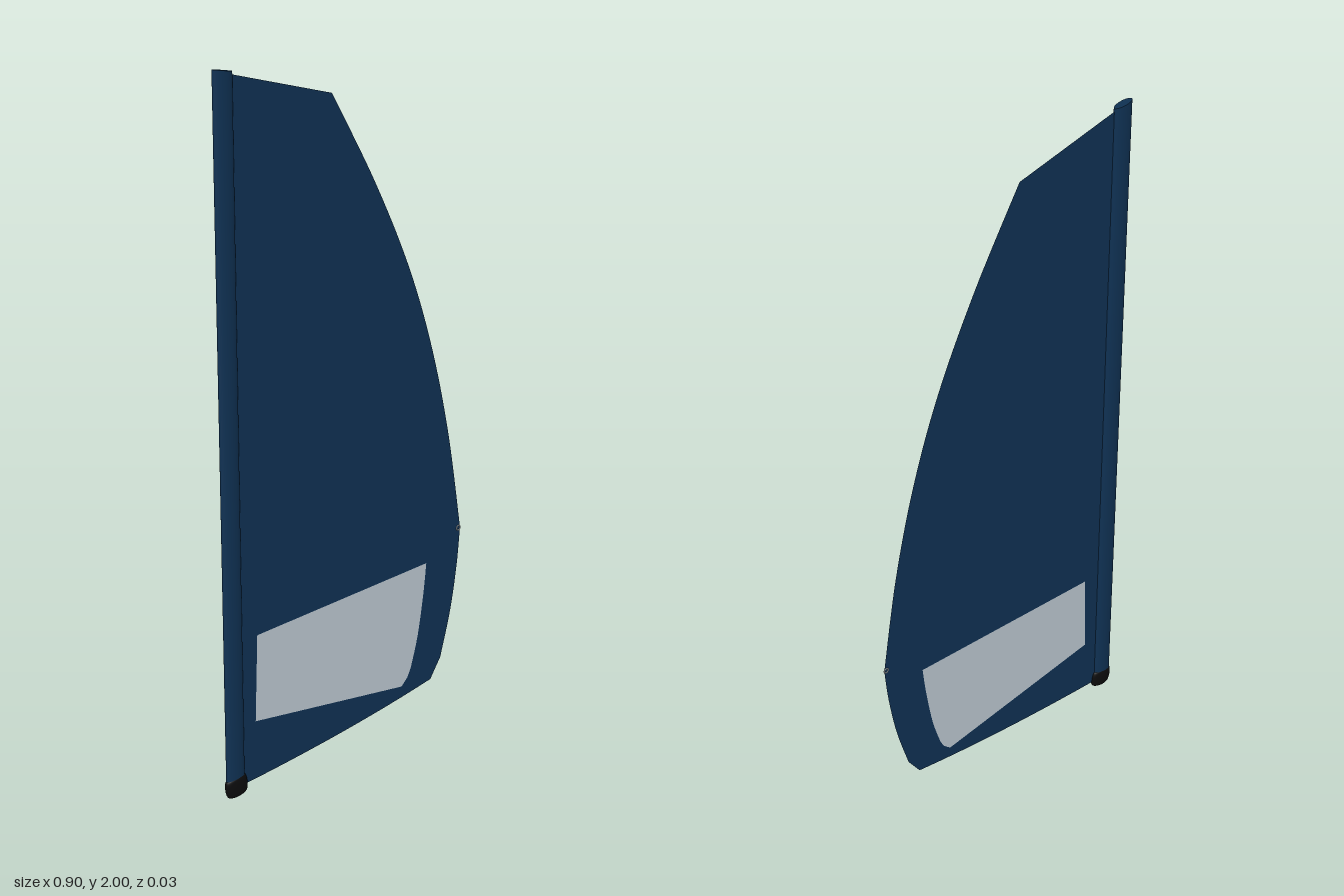
import * as THREE from 'three';

const navy = new THREE.MeshStandardMaterial({ color: 0x0f3153, side: THREE.DoubleSide });
navy.name = 'navy cloth';
const clear = new THREE.MeshStandardMaterial({ color: 0xbcc8d1, side: THREE.DoubleSide });
clear.name = 'pale window film';
const black = new THREE.MeshStandardMaterial({ color: 0x0b0b0c });
black.name = 'black rubber';
const metal = new THREE.MeshStandardMaterial({ color: 0xa9b0b5 });
metal.name = 'grey metal';

const MAST_X = -0.415;
const vec = (points) => points.map(([x, y]) => new THREE.Vector2(x, y));

function add(group, name, geometry, material) {
  const mesh = new THREE.Mesh(geometry, material);
  mesh.name = name;
  group.add(mesh);
  return mesh;
}

// Window outline, shared by the hole in the cloth and the pane
function windowPoints() {
  const roach = new THREE.SplineCurve(vec([[0.307, 0.497], [0.296, 0.4], [0.275, 0.275], [0.248, 0.18]]));
  return [...vec([[-0.34, 0.205], [-0.33, 0.46]]), ...roach.getPoints(12), ...vec([[0.235, 0.155], [0.212, 0.133]])];
}

// Sail outline: head, curved leech, clipped lower corner and curved foot
function sailShape() {
  const shape = new THREE.Shape();
  shape.moveTo(MAST_X, 1.99);
  shape.lineTo(-0.055, 1.902);
  shape.splineThru(vec([[0.1, 1.645], [0.228, 1.39], [0.32, 1.14], [0.39, 0.87], [0.443, 0.575]]));
  shape.splineThru(vec([[0.432, 0.46], [0.408, 0.32], [0.37, 0.18]]));
  shape.lineTo(0.33, 0.12);
  shape.quadraticCurveTo(0, 0.056, MAST_X, 0.025);
  shape.closePath();
  shape.holes.push(new THREE.Path(windowPoints()));
  return shape;
}

export function createModel() {
  const model = new THREE.Group();
  model.name = 'sail';

  add(model, 'sailCloth', new THREE.ShapeGeometry(sailShape(), 16), navy);
  add(model, 'sailWindow', new THREE.ShapeGeometry(new THREE.Shape(windowPoints())), clear);

  // Flattened mast sleeve with a slightly sloping top
  const sleeve = new THREE.CylinderGeometry(1, 1, 1.97, 32);
  sleeve.scale(0.031, 1, 0.0125);
  const pos = sleeve.attributes.position;
  for (let i = 0; i < pos.count; i++) {
    if (pos.getY(i) > 0) pos.setY(i, pos.getY(i) - (pos.getX(i) + 0.031) * 0.14);
  }
  sleeve.translate(MAST_X, 1.015, 0);
  add(model, 'mastSleeve', sleeve, navy);

  // Rounded end boot, tilted with the foot
  const profile = new THREE.SplineCurve(vec([
    [0, -0.029], [0.6, -0.029], [0.88, -0.024], [1, -0.01],
    [1, 0.01], [0.88, 0.024], [0.6, 0.029], [0, 0.029],
  ]));
  const bootGeometry = new THREE.LatheGeometry(profile.getPoints(28), 32);
  bootGeometry.scale(0.037, 1, 0.0155);
  const boot = add(model, 'mastBoot', bootGeometry, black);
  boot.position.set(-0.412, 0.034, 0);
  boot.rotation.z = 0.14;

  // Small eyelet at the clew
  const eyelet = add(model, 'clewEyelet', new THREE.TorusGeometry(0.007, 0.002, 8, 24), metal);
  eyelet.position.set(0.436, 0.574, 0);

  return model;
}
